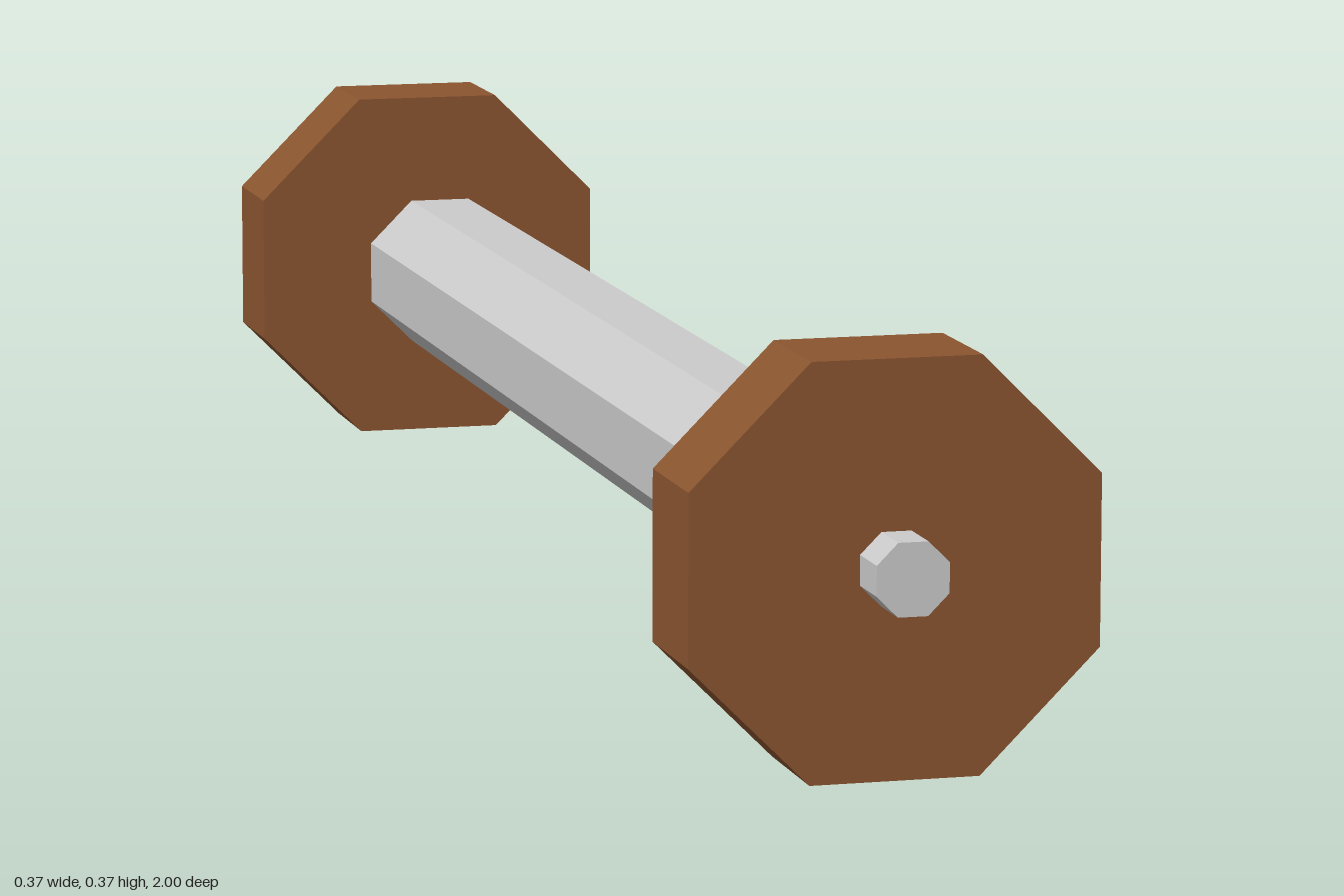
import * as THREE from 'three';

const AXIS_Y = 0.185;

const metal = new THREE.MeshStandardMaterial({ color: 0xcccccc, flatShading: true });
const wood = new THREE.MeshStandardMaterial({ color: 0x8b5530, flatShading: true });

// Octagonal prism lying along z, flat side down; apothem is half its width
function octagonBar(name, apothem, z0, z1, material) {
  const radius = apothem / Math.cos(Math.PI / 8);
  const geometry = new THREE.CylinderGeometry(radius, radius, z1 - z0, 8);
  geometry.rotateY(Math.PI / 8);
  geometry.rotateX(Math.PI / 2);
  const mesh = new THREE.Mesh(geometry, material);
  mesh.name = name;
  mesh.position.set(0, AXIS_Y, (z0 + z1) / 2);
  return mesh;
}

export function createModel() {
  const model = new THREE.Group();
  model.name = 'rollerWithEndWheels';

  // Thin axle running the full length
  const axle = octagonBar('axle', 0.0325, -1, 1, metal);
  axle.position.y += 0.002;
  model.add(axle);

  // Thick middle roller
  const roller = octagonBar('roller', 0.0775, -0.773, 0.773, metal);
  roller.position.y += 0.002;
  model.add(roller);

  // Wooden wheel near each end
  model.add(octagonBar('frontWheel', 0.185, 0.832, 0.95, wood));
  model.add(octagonBar('backWheel', 0.185, -0.95, -0.832, wood));

  return model;
}
